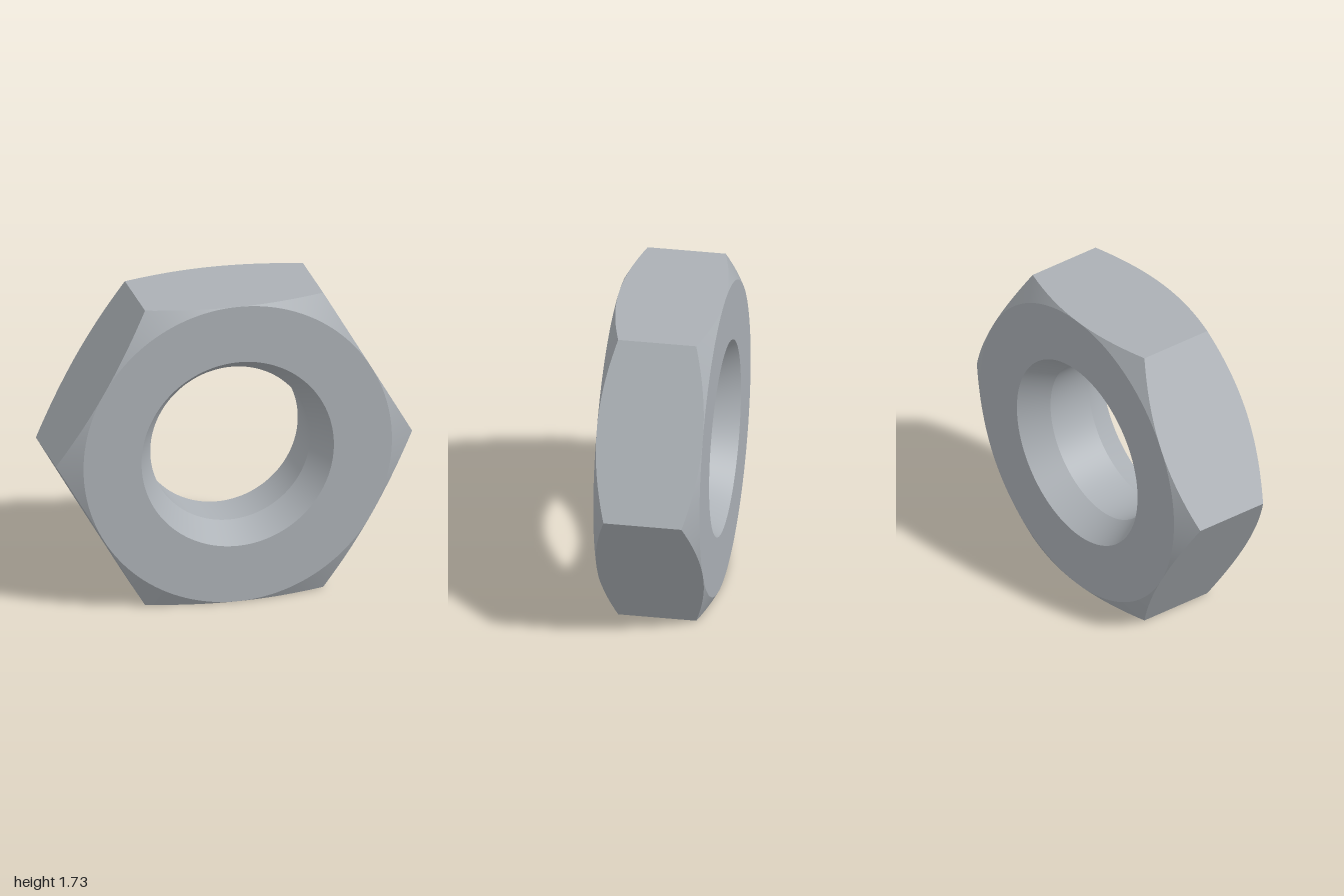
import * as THREE from 'three';
import { toCreasedNormals } from 'three/addons/utils/BufferGeometryUtils.js';

const SEGMENTS = 144;             // multiple of 12, so corners and flat centres are sampled
const APOTHEM = Math.sqrt(3) / 2; // centre to flat; corners lie at radius 1
const HALF = 0.292;               // half thickness
const CHAMFER = Math.tan(Math.PI / 6);
const RIM = 0.54, BORE = 0.449, SINK = 0.16;

// Distance from the axis to the hexagon outline
function hexRadius(angle) {
  const sector = Math.PI / 3;
  const local = ((angle % sector) + sector) % sector - sector / 2;
  return APOTHEM / Math.cos(local);
}

// Closed cross-section [radius, z], running from the front rim outwards and round
function section(angle) {
  const r = hexRadius(angle);
  const z = HALF - (r - APOTHEM) * CHAMFER;
  return [
    [RIM, HALF], [APOTHEM, HALF], [r, z], [r, -z],
    [APOTHEM, -HALF], [RIM, -HALF], [BORE, SINK - HALF], [BORE, HALF - SINK],
  ];
}

// Sweeps one edge of the cross-section round the axis
function band(edge) {
  const pos = [];
  const point = (i, k) => {
    const a = ((i % SEGMENTS) / SEGMENTS) * Math.PI * 2;
    const [r, z] = section(a)[k % 8];
    return new THREE.Vector3(r * Math.cos(a), r * Math.sin(a), z);
  };
  const tri = (a, b, c) => {
    // leave out slivers where the chamfer runs out at the middle of a flat
    const area = b.clone().sub(a).cross(c.clone().sub(a)).length();
    if (area > 1e-9) pos.push(...a, ...b, ...c);
  };
  for (let i = 0; i < SEGMENTS; i++) {
    const a = point(i, edge), b = point(i, edge + 1);
    const c = point(i + 1, edge + 1), d = point(i + 1, edge);
    tri(a, b, c);
    tri(a, c, d);
  }
  const geo = new THREE.BufferGeometry();
  geo.setAttribute('position', new THREE.Float32BufferAttribute(pos, 3));
  return toCreasedNormals(geo, 0.3);
}

export function createModel() {
  const steel = new THREE.MeshStandardMaterial({ color: 0xabb0b5 });
  steel.name = 'steel grey';

  const nut = new THREE.Group();
  nut.name = 'hexNut';
  const parts = [
    'frontFace', 'frontChamfer', 'hexSides', 'backChamfer',
    'backFace', 'backCountersink', 'bore', 'frontCountersink',
  ];
  parts.forEach((name, edge) => {
    const mesh = new THREE.Mesh(band(edge), steel);
    mesh.name = name;
    mesh.position.y = APOTHEM; // stands on one flat
    nut.add(mesh);
  });
  return nut;
}
